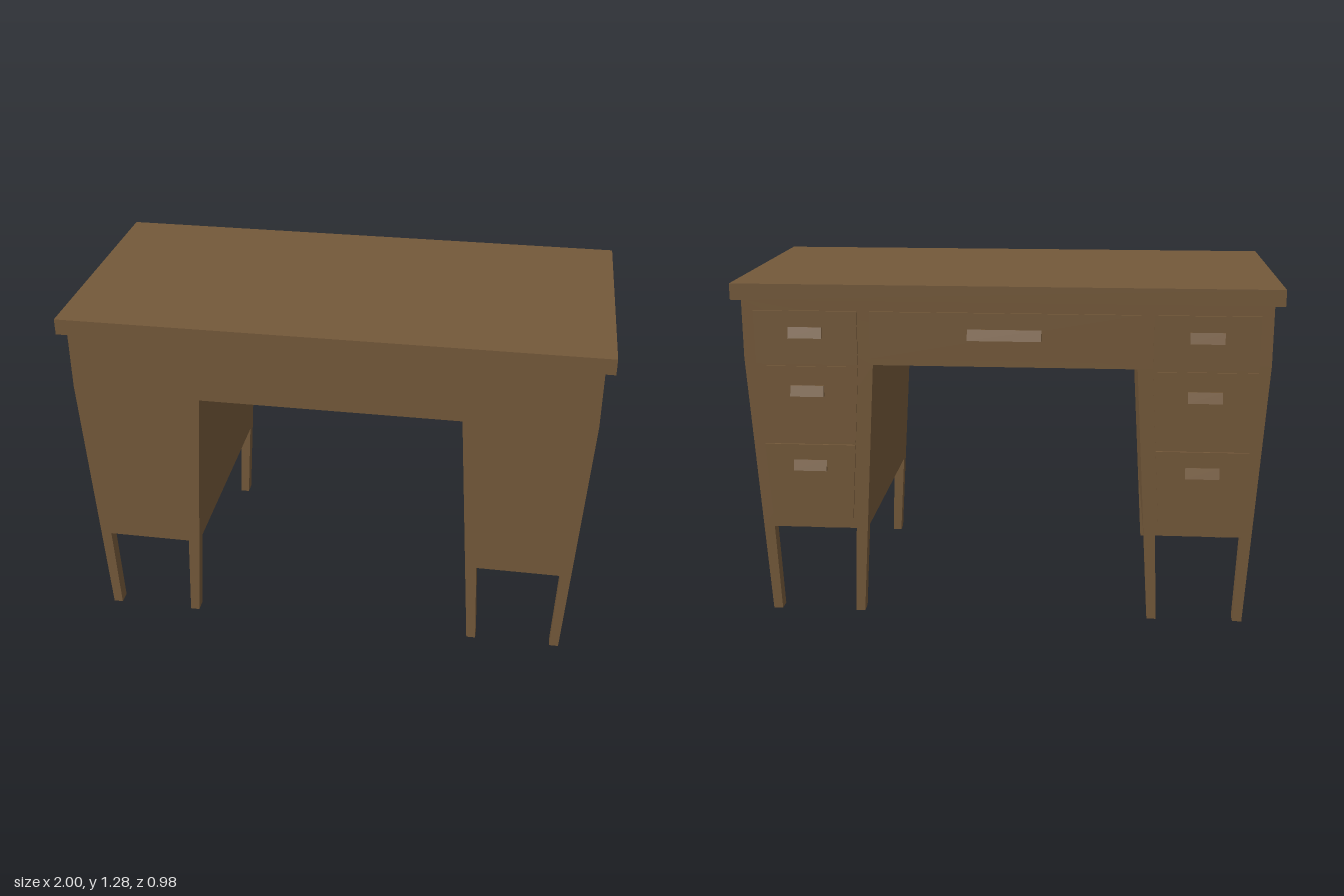
import * as THREE from 'three';

const wood = new THREE.MeshStandardMaterial({ color: 0x74593a, flatShading: true });

// Tapering silhouette of a pedestal at height y
const outerX = y => 0.965 - 0.06 * Math.max(0, 1 - y);
const innerX = y => 0.485 + 0.06 * Math.max(0, 1 - y / 0.98);

function add(group, name, geometry) {
  const mesh = new THREE.Mesh(geometry, wood);
  mesh.name = name;
  group.add(mesh);
  return mesh;
}

// Extrudes an outline of [x, y] points from z0 to z1
function slab(points, z0, z1) {
  const shape = new THREE.Shape(points.map(p => new THREE.Vector2(p[0], p[1])));
  const g = new THREE.ExtrudeGeometry(shape, { depth: z1 - z0, bevelEnabled: false });
  return g.translate(0, 0, z0);
}

// Drawer front between two heights, following the pedestal taper
function drawerOutline(y0, y1, s) {
  const a = y => s * (innerX(y) + 0.055), b = y => s * (outerX(y) - 0.043);
  return [[a(y0), y0], [b(y0), y0], [b(y1), y1], [a(y1), y1]];
}

// Wedge pull: flush at the top, standing out at the bottom
function pull(group, x, y, width) {
  const g = slab([[0, -0.02], [0.016, -0.02], [0.004, 0.02], [0, 0.02]], -width / 2, width / 2);
  g.rotateY(Math.PI / 2);
  add(group, 'drawerPull', g).position.set(x, y, -0.475);
}

export function createModel() {
  const desk = new THREE.Group();
  desk.name = 'desk';

  // Table top
  add(desk, 'tableTop', new THREE.BoxGeometry(2, 0.06, 0.98)).position.y = 1.25;

  // Body: both pedestals joined by the apron over the kneehole
  const half = [[innerX(0.98), 0.98], [innerX(0.34), 0.34], [outerX(0.34), 0.34], [outerX(1), 1], [0.965, 1.22]];
  const mirrored = half.map(([x, y]) => [-x, y]).reverse();
  add(desk, 'body', slab([...half, ...mirrored], -0.47, 0.47));

  for (const s of [1, -1]) {
    // Tapered legs at the four corners of each pedestal
    for (const z0 of [-0.47, 0.42]) {
      add(desk, 'outerLeg', slab([[s * 0.87, 0], [s * 0.905, 0], [s * outerX(0.34), 0.34], [s * 0.885, 0.34]], z0, z0 + 0.05));
      add(desk, 'innerLeg', slab([[s * 0.545, 0], [s * 0.58, 0], [s * 0.567, 0.34], [s * innerX(0.34), 0.34]], z0, z0 + 0.05));
    }
    // Three drawers: bottom, middle, top
    for (const [y0, y1, handleY, face] of [[0.38, 0.672, 0.592, -0.478], [0.682, 0.972, 0.88, -0.475], [0.98, 1.18, 1.1, -0.478]]) {
      add(desk, 'drawerFront', slab(drawerOutline(y0, y1, s), face, -0.46));
      pull(desk, s * 0.732, handleY, 0.125);
    }
  }

  // Wide centre drawer
  add(desk, 'centreDrawerFront', new THREE.BoxGeometry(0.985, 0.175, 0.018)).position.set(0, 1.0925, -0.469);
  pull(desk, 0, 1.1, 0.27);
  // Turn the pulls outwards, towards the drawer side
  desk.children.filter(m => m.name === 'drawerPull').forEach(m => { m.geometry.computeBoundingBox(); });
  return desk;
}
